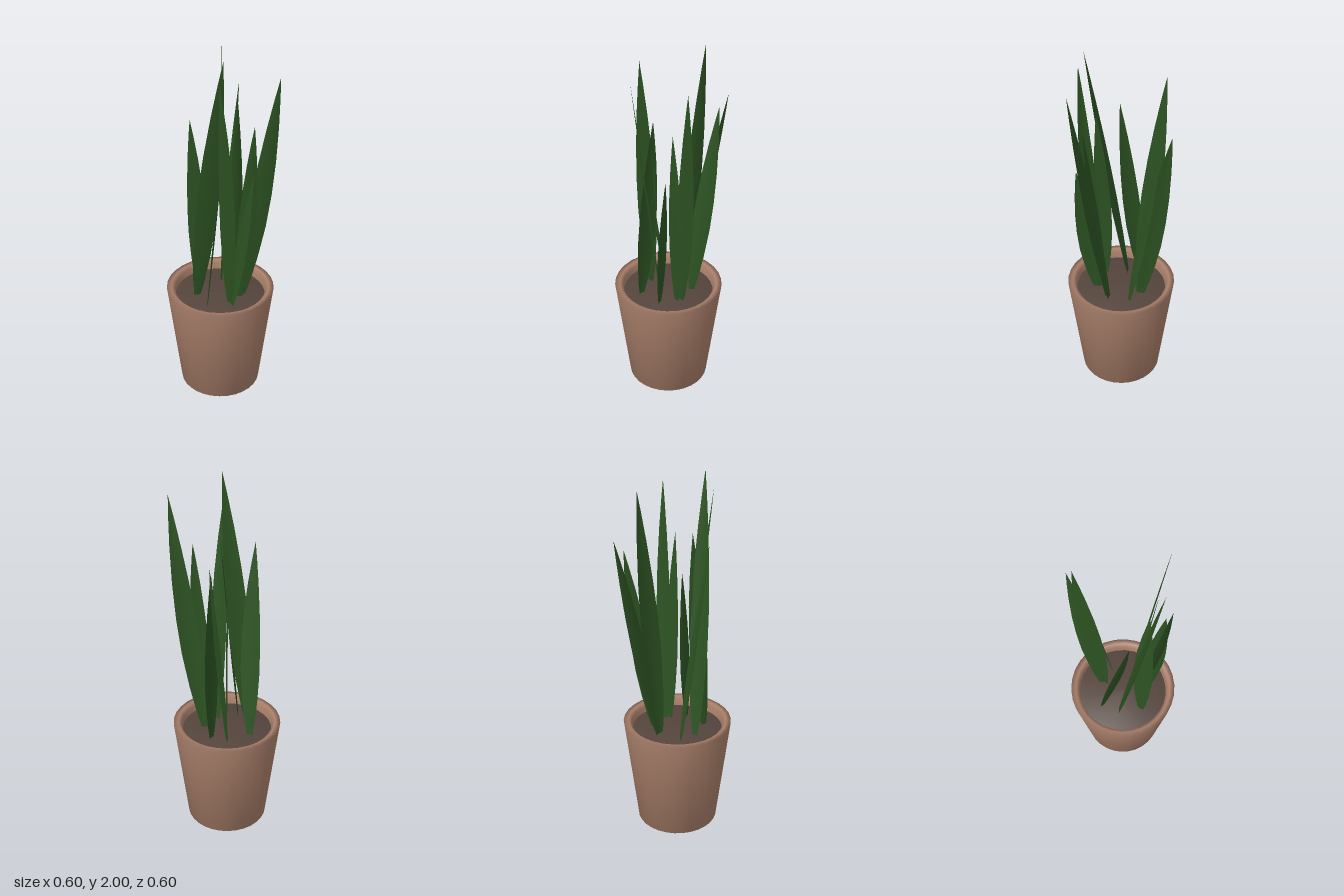
import * as THREE from 'three';

const mat = (name, color, side = THREE.FrontSide) => {
  const m = new THREE.MeshStandardMaterial({ color, side });
  m.name = name;
  return m;
};

const lathe = (name, pts, material) => {
  const profile = pts.map(([r, y]) => new THREE.Vector2(r, y));
  const mesh = new THREE.Mesh(new THREE.LatheGeometry(profile, 30), material);
  mesh.name = name;
  return mesh;
};

// Relative blade width along the leaf, from base to tip
const BLADE = [[0, 0.28], [0.08, 0.56], [0.2, 0.82], [0.35, 1], [0.5, 0.98],
  [0.65, 0.82], [0.8, 0.54], [0.92, 0.24], [1, 0]];

// Upright pointed blade: "across" is its width direction [x, z],
// "bow" shifts the middle of the blade along that direction
function leafGeometry({ base, tip, width, across, bow = 0 }) {
  const [bx, bz] = base, [tx, ty, tz] = tip, by = 0.56;
  const w = new THREE.Vector2(...across).normalize();
  const cols = 4, pos = [], idx = [];
  BLADE.forEach(([t, k], i) => {
    for (let j = 0; j <= cols; j++) {
      const s = (j / cols) * 2 - 1;
      const side = s * k * width / 2 + bow * Math.sin(Math.PI * t);
      const cup = (1 - s * s) * k * width * 0.05;
      pos.push(bx + (tx - bx) * t + w.x * side - w.y * cup,
        by + (ty - by) * t,
        bz + (tz - bz) * t + w.y * side + w.x * cup);
      if (i < BLADE.length - 1 && j < cols) {
        const a = i * (cols + 1) + j, b = a + cols + 1;
        idx.push(a, a + 1, b);
        if (i < BLADE.length - 2) idx.push(a + 1, b + 1, b);
      }
    }
  });
  const g = new THREE.BufferGeometry();
  g.setAttribute('position', new THREE.Float32BufferAttribute(pos, 3));
  g.setIndex(idx);
  g.computeVertexNormals();
  return g;
}

// base is [x, z] at the soil, tip is [x, y, z]
const LEAVES = [
  // back cluster
  { base: [0.03, -0.125], tip: [0.16, 1.71, -0.3], width: 0.11, across: [0.1, 1] },
  { base: [0.028, -0.11], tip: [0.053, 1.97, -0.24], width: 0.115, across: [0.2, -1] },
  { base: [0.105, -0.075], tip: [0.14, 1.65, -0.25], width: 0.1, across: [0.8, -0.55] },
  // right cluster
  { base: [-0.105, -0.1], tip: [-0.165, 1.66, 0.055], width: 0.11, across: [0.8, 0.6], bow: 0.01 },
  { base: [-0.13, -0.005], tip: [-0.022, 2, 0.195], width: 0.12, across: [1, -0.05] },
  { base: [-0.095, 0.12], tip: [0.005, 1.67, 0.13], width: 0.11, across: [-0.3, 1], bow: -0.008 },
  // front cluster
  { base: [0.032, 0.105], tip: [-0.048, 1.9, 0.235], width: 0.095, across: [0.73, 0.68], bow: 0.012 },
  { base: [0.04, 0.13], tip: [0.135, 1.4, 0.2], width: 0.115, across: [0.25, 1] },
  // left cluster
  { base: [0.118, 0.035], tip: [0.26, 1.9, 0.19], width: 0.11, across: [1, 0.1], bow: 0.008 },
  { base: [0.1, 0.055], tip: [0.145, 1.64, 0.155], width: 0.095, across: [1, 0.1], bow: 0.005 },
];

export function createModel() {
  const model = new THREE.Group();
  model.name = 'pottedPlant';
  const clay = mat('clay', 0xa97f6a);
  const earth = mat('earth', 0x54443c);
  const green = mat('leafGreen', 0x2c5222, THREE.DoubleSide);

  // Tapered pot with a softened rim
  model.add(lathe('pot', [[0, 0], [0.226, 0], [0.3, 0.618],
    [0.272, 0.62], [0.254, 0.605], [0.25, 0.54]], clay));

  // Soil plug with a softly shaded edge
  model.add(lathe('soil', [[0.251, 0.52], [0.251, 0.567], [0, 0.572]], earth));

  const leaves = new THREE.Group();
  leaves.name = 'leaves';
  LEAVES.forEach((leaf, i) => {
    const mesh = new THREE.Mesh(leafGeometry(leaf), green);
    mesh.name = `leaf${i + 1}`;
    leaves.add(mesh);
  });
  model.add(leaves);
  return model;
}
